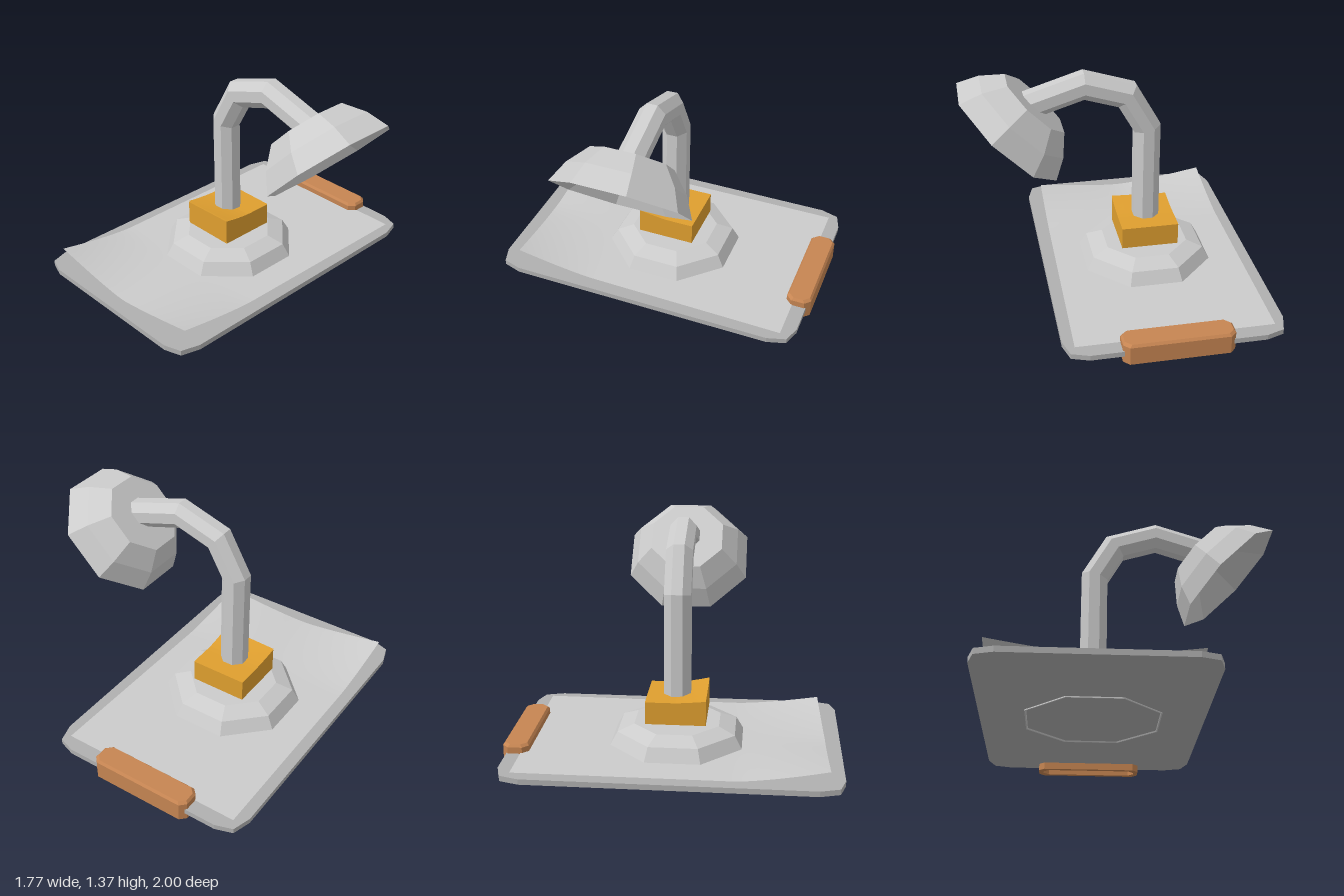
import * as THREE from 'three';

const grey = new THREE.MeshStandardMaterial({ color: 0xcccccc, flatShading: true });
const boardGrey = new THREE.MeshStandardMaterial({ color: 0xb0b0b0, flatShading: true });
const paperGrey = new THREE.MeshStandardMaterial({ color: 0xcccccc, side: THREE.DoubleSide });
const copper = new THREE.MeshStandardMaterial({ color: 0xc68552, flatShading: true });
const amber = new THREE.MeshStandardMaterial({ color: 0xdf9f2f, flatShading: true, side: THREE.DoubleSide });

const clamp01 = (v) => THREE.MathUtils.clamp(v, 0, 1);

function part(name, geometry, material, parent) {
  const mesh = new THREE.Mesh(geometry, material);
  mesh.name = name;
  parent.add(mesh);
  return mesh;
}

// Rectangle in plan (x, -z) with every corner cut along the given offsets, counterclockwise
function cutRect(x0, x1, z0, z1, cuts) {
  const back = [...cuts].reverse();
  return [
    ...cuts.map(([a, b]) => [x0 + a, -z1 + b]),
    ...back.map(([a, b]) => [x1 - a, -z1 + b]),
    ...cuts.map(([a, b]) => [x1 - a, -z0 - b]),
    ...back.map(([a, b]) => [x0 + a, -z0 - b]),
  ].map(([x, y]) => new THREE.Vector2(x, y));
}

// Flat plate with optional hole, lying from y to y + height
function plate(outline, y, height, hole) {
  const shape = new THREE.Shape(outline);
  if (hole) shape.holes.push(new THREE.Path(hole));
  const geo = new THREE.ExtrudeGeometry(shape, { depth: height, bevelEnabled: false });
  return geo.rotateX(-Math.PI / 2).translate(0, y, 0);
}

// Skin over a row of rings, closed at both ends
function loft(rings) {
  const n = rings[0].length;
  const pos = [];
  const tri = (...pts) => pts.forEach((p) => pos.push(p.x, p.y, p.z));
  for (let k = 0; k < rings.length - 1; k++) {
    for (let i = 0; i < n; i++) {
      const j = (i + 1) % n;
      tri(rings[k][i], rings[k][j], rings[k + 1][j]);
      tri(rings[k][i], rings[k + 1][j], rings[k + 1][i]);
    }
  }
  const first = rings[0], last = rings[rings.length - 1];
  for (let i = 1; i < n - 1; i++) {
    tri(first[0], first[i + 1], first[i]);
    tri(last[0], last[i], last[i + 1]);
  }
  const geo = new THREE.BufferGeometry();
  geo.setAttribute('position', new THREE.Float32BufferAttribute(pos, 3));
  geo.computeVertexNormals();
  return geo;
}

// Eight-sided turned form, radii measured to the flats
function octagonLathe(profile) {
  const k = 1 / Math.cos(Math.PI / 8);
  const pts = profile.map(([r, y]) => new THREE.Vector2(r * k, y));
  return new THREE.LatheGeometry(pts, 8, Math.PI / 8);
}

// Move each vertex to the height given by rule(x, y, z)
function setHeights(geo, rule) {
  const p = geo.attributes.position;
  for (let i = 0; i < p.count; i++) p.setY(i, rule(p.getX(i), p.getY(i), p.getZ(i)));
  geo.computeVertexNormals();
  return geo;
}

// Octagonal bar with mitred bends; the end is cut square to endDir
function armGeometry(path, z, apothem, endDir) {
  const dirs = path.slice(1).map((p, i) => p.clone().sub(path[i]).normalize());
  const radius = apothem / Math.cos(Math.PI / 8);
  const rings = path.map((p, i) => {
    const prev = dirs[Math.max(i - 1, 0)];
    const t = i === path.length - 1 ? endDir : prev.clone().add(dirs[i]).normalize();
    const stretch = 1 / t.dot(prev);
    return Array.from({ length: 8 }, (_, s) => {
      const a = ((s + 0.5) * Math.PI) / 4;
      const u = Math.cos(a) * radius * stretch;
      return new THREE.Vector3(p.x - t.y * u, p.y + t.x * u, z + Math.sin(a) * radius);
    });
  });
  return loft(rings);
}

export function createModel() {
  const model = new THREE.Group();
  model.name = 'deskLampOnClipboard';

  // Clipboard
  const clipboard = new THREE.Group();
  clipboard.name = 'clipboard';
  model.add(clipboard);
  const boardCuts = [[0, 0.15], [0.035, 0.035], [0.14, 0]];
  part('board', plate(cutRect(-0.89, 0.425, -0.975, 1.0, boardCuts), 0.043, 0.033), boardGrey, clipboard);

  // Sheet of paper with its two front corners curling up
  const sheet = new THREE.PlaneGeometry(1.18, 1.8, 24, 36).rotateX(-Math.PI / 2).translate(-0.23, 0, 0.01);
  setHeights(sheet, (x, y, z) => {
    const forward = clamp01((z - 0.38) / 0.53) ** 1.4;
    const left = clamp01((-0.25 - x) / 0.57) ** 1.3;
    const right = clamp01((x + 0.2) / 0.56) ** 1.3;
    return 0.081 + forward * (0.08 * left + 0.064 * right);
  });
  const sp = sheet.attributes.position;
  for (let i = 0; i < sp.count; i++) {
    const x = sp.getX(i), z = sp.getZ(i);
    const right = clamp01((x + 0.2) / 0.56), forward = clamp01((z + 0.89) / 1.8);
    sp.setX(i, x - 0.025 * right * forward);
    sp.setZ(i, z - 0.025 * right * forward);
  }
  sheet.computeVertexNormals();
  part('paper', sheet, paperGrey, clipboard);

  // Clip: hollow body below, narrow bevelled lid on top
  const clipCuts = [[0, 0.035], [0.035, 0]];
  const clipRect = (inset) => cutRect(-0.56 + inset, 0.097 - inset, -1 + inset, -0.845 - inset, clipCuts);
  part('clipBody', plate(clipRect(0), 0, 0.115, clipRect(0.028)), copper, clipboard);
  const lidRing = (inset, y) => clipRect(inset).map((p) => new THREE.Vector3(p.x, y, -p.y));
  part('clipLid', loft([lidRing(0, 0.115), lidRing(0.012, 0.13)]), copper, clipboard);

  // Lamp
  const lamp = new THREE.Group();
  lamp.name = 'lamp';
  model.add(lamp);
  // Stepped foot, its open rim showing just under the board
  const baseProfile = [[0.38, 0.05], [0.388, 0.036], [0.395, 0.036], [0.395, 0.08], [0.352, 0.16], [0.255, 0.2], [0, 0.2]];
  part('lampBase', octagonLathe(baseProfile), grey, lamp).position.set(-0.23, 0, 0.015);

  const path = [[-0.235, 0.19], [-0.235, 0.98], [-0.11, 1.2], [0.15, 1.282], [0.453, 1.187]]
    .map(([x, y]) => new THREE.Vector2(x, y));
  const shadeDir = new THREE.Vector2(1, -1).normalize();
  part('lampArm', armGeometry(path, 0.015, 0.08, shadeDir), grey, lamp);

  // Shade: outer dome and inner cone in one closed profile
  const shadeProfile = [[0, -0.02], [0.118, -0.02], [0.381, -0.244], [0.321, -0.117], [0.226, 0], [0, 0]];
  const shade = part('lampShade', octagonLathe(shadeProfile), grey, lamp);
  shade.position.set(0.441, 1.185, 0.015);
  shade.rotation.z = Math.PI / 4;

  // Note block around the pole, its top sheet lifting at the front
  const notes = new THREE.Group();
  notes.name = 'noteBlock';
  model.add(notes);
  const lift = (x, z) => clamp01(z / 0.195) ** 1.4 * (0.019 + 0.012 * clamp01((x + 0.41) / 0.355));
  const block = new THREE.BoxGeometry(0.355, 0.14, 0.36, 6, 1, 10).translate(-0.2325, 0.3, 0.015);
  part('notePad', setHeights(block, (x, y, z) => (y > 0.3 ? 0.368 + lift(x, z) * 0.85 : y)), amber, notes);
  const top = new THREE.PlaneGeometry(0.355, 0.36, 6, 10).rotateX(-Math.PI / 2).translate(-0.2325, 0, 0.015);
  part('topNote', setHeights(top, (x, y, z) => 0.371 + lift(x, z) * 1.1), amber, notes);

  return model;
}
